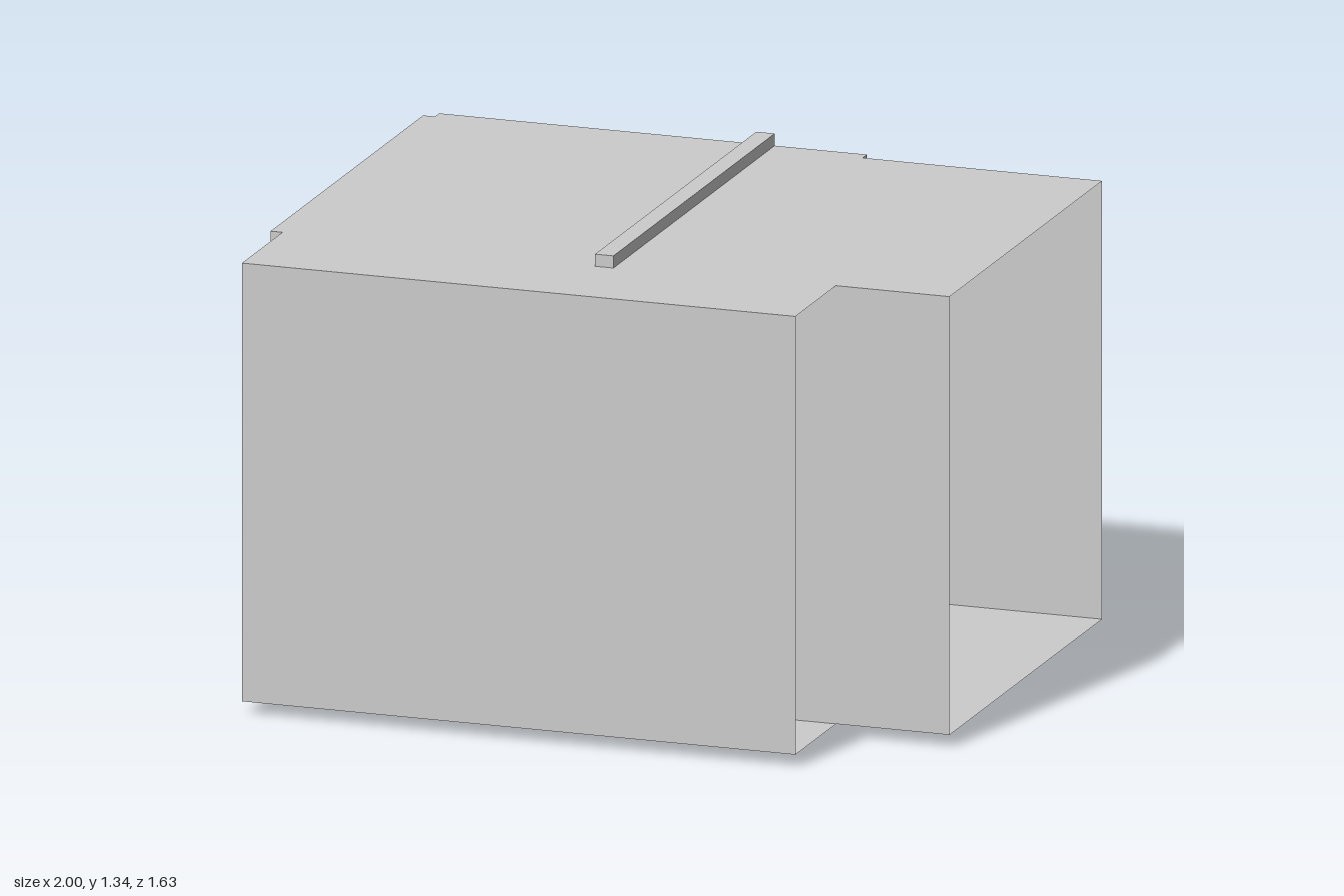
import * as THREE from 'three';

const FLOOR = 0.037, CEIL = 1.3, HEIGHT = CEIL - FLOOR;

export function createModel() {
  const group = new THREE.Group();
  const sheet = new THREE.MeshStandardMaterial({ color: 0xcccccc, side: THREE.DoubleSide, flatShading: true });

  function add(name, geometry) {
    const mesh = new THREE.Mesh(geometry, sheet);
    mesh.name = name;
    group.add(mesh);
    return mesh;
  }

  // Upright thin wall between two plan points
  function wall(name, x0, z0, x1, z1) {
    const geometry = new THREE.PlaneGeometry(Math.hypot(x1 - x0, z1 - z0), HEIGHT);
    const mesh = add(name, geometry);
    mesh.position.set((x0 + x1) / 2, FLOOR + HEIGHT / 2, (z0 + z1) / 2);
    mesh.rotation.y = -Math.atan2(z1 - z0, x1 - x0);
  }

  // Floor and ceiling share one plan outline (x, z)
  const plan = new THREE.Shape([
    [-1, -0.78], [-0.965, -0.78], [-0.965, -0.815], [0.295, -0.815], [0.295, -0.78], [1, -0.78],
    [1, 0.48], [0.665, 0.48], [0.665, 0.815], [-0.965, 0.815], [-0.965, 0.48], [-1, 0.48],
  ].map(([x, z]) => new THREE.Vector2(x, z)));
  for (const [name, y] of [['floor', FLOOR], ['ceiling', CEIL]]) {
    add(name, new THREE.ShapeGeometry(plan).rotateX(Math.PI / 2)).position.y = y;
  }

  // Outer walls; the +x ends stay open
  wall('frontWall', -0.965, 0.815, 0.665, 0.815);
  wall('backWall', -0.965, -0.78, 1, -0.78);
  wall('sideWall', -0.965, -0.78, -0.965, 0.815);

  // Partitions separating the side pockets from the main passage
  wall('frontPartition', -1, 0.48, 1, 0.48);
  wall('backPartition', -0.965, -0.445, 0.665, -0.445);

  // Shallow jambs around the recessed wall panels
  wall('backJambLeft', 0.295, -0.78, 0.295, -0.815);
  wall('backJambRight', -0.965, -0.78, -0.965, -0.815);
  wall('sideJamb', -1, -0.78, -0.965, -0.78);

  // Square hoop around the passage, drawn in (-z, y) and extruded along x
  const rectangle = (a, b, c, d) => [[a, b], [c, b], [c, d], [a, d]].map(([x, y]) => new THREE.Vector2(x, y));
  const ring = new THREE.Shape(rectangle(-0.517, 0, 0.815, 1.335));
  ring.holes.push(new THREE.Path(rectangle(-0.48, FLOOR, 0.78, CEIL).reverse()));
  const hoop = new THREE.ExtrudeGeometry(ring, { depth: 0.054, bevelEnabled: false });
  add('hoop', hoop.rotateY(Math.PI / 2)).position.x = -0.031;

  // Slatted shutter closing the passage inside the hoop
  const count = 34, pitch = HEIGHT / count, tilt = 0.037;
  const shutter = new THREE.Group();
  shutter.name = 'shutter';
  for (let i = 0; i < count; i++) {
    const slat = new THREE.Mesh(new THREE.PlaneGeometry(0.925, Math.hypot(pitch, tilt)), sheet);
    slat.name = 'slat';
    slat.geometry.rotateX(-Math.atan2(tilt, pitch)).rotateY(Math.PI / 2);
    slat.position.set(-0.004, FLOOR + (i + 0.5) * pitch, 0.0175);
    shutter.add(slat);
  }
  group.add(shutter);

  return group;
}
